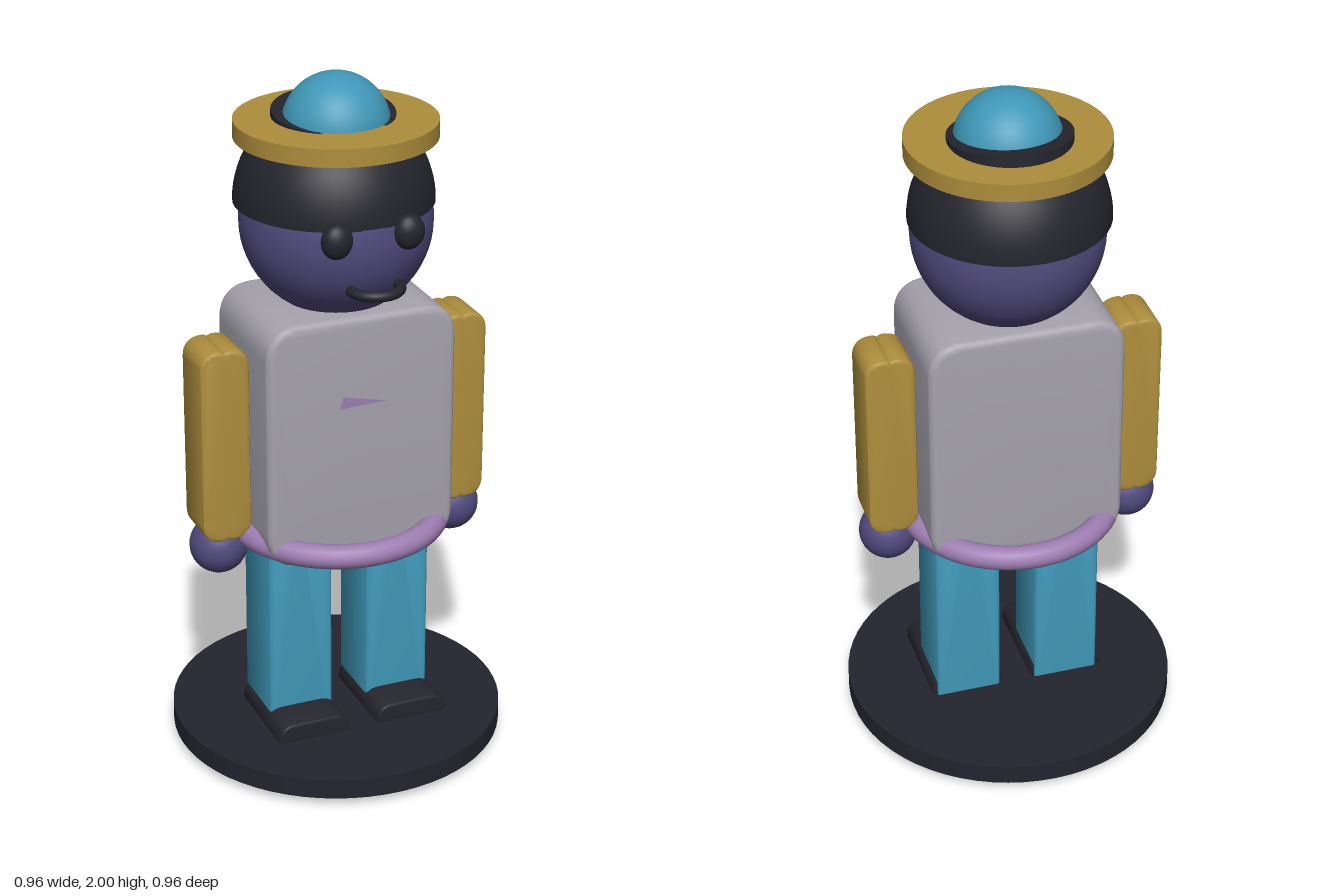
import * as THREE from 'three';
import { toCreasedNormals } from 'three/addons/utils/BufferGeometryUtils.js';

const mat = (name, color, side = THREE.FrontSide) => {
  const m = new THREE.MeshStandardMaterial({ color, side });
  m.name = name;
  return m;
};

// Upright panel with rounded corners; notch dents the middle of both ends.
function panel(w, h, depth, r, bevel, notch = 0) {
  const x = w / 2 - bevel, y = h / 2 - bevel;
  const s = new THREE.Shape();
  s.moveTo(-x, -y + r);
  s.lineTo(-x, y - r);
  s.quadraticCurveTo(-x, y, -x + r, y);
  if (notch) s.quadraticCurveTo(-x * 0.1, y, 0, y - notch).quadraticCurveTo(x * 0.1, y, x - r, y);
  else s.lineTo(x - r, y);
  s.quadraticCurveTo(x, y, x, y - r);
  s.lineTo(x, -y + r);
  s.quadraticCurveTo(x, -y, x - r, -y);
  if (notch) s.quadraticCurveTo(x * 0.1, -y, 0, -y + notch).quadraticCurveTo(-x * 0.1, -y, -x + r, -y);
  else s.lineTo(-x + r, -y);
  s.quadraticCurveTo(-x, -y, -x, -y + r);
  const g = new THREE.ExtrudeGeometry(s, {
    depth: depth - 2 * bevel, bevelEnabled: true, bevelSize: bevel,
    bevelThickness: bevel, bevelSegments: 4, curveSegments: 8,
  });
  g.translate(0, 0, bevel - depth / 2);
  return toCreasedNormals(g, 0.6);
}

export function createModel() {
  const model = new THREE.Group();
  model.name = 'figurine';
  const skin = mat('indigo skin', 0x514a7e);
  const dark = mat('black', 0x24242d, THREE.DoubleSide);
  const baseDark = mat('dark navy', 0x242430);
  const teal = mat('teal', 0x3f97b7);
  const gold = mat('gold', 0xae8e3c);
  const grey = mat('grey', 0xa5a2ad);
  const mauve = mat('mauve', 0x9d7db2);

  const add = (name, geo, material, x = 0, y = 0, z = 0) => {
    const m = new THREE.Mesh(geo, material);
    m.name = name;
    m.position.set(x, y, z);
    model.add(m);
    return m;
  };

  // Stand
  add('base', new THREE.CylinderGeometry(0.482, 0.482, 0.06, 64), baseDark, 0, 0.06, 0);

  // Body and hoop around the waist
  add('torso', panel(0.56, 0.725, 0.39, 0.08, 0.02), grey, 0, 1.005, 0);
  add('waistHoop', new THREE.TorusGeometry(0.29, 0.035, 16, 64).rotateX(Math.PI / 2), mauve, 0, 0.695, 0);

  // Small sliver on the chest
  const sliver = new THREE.Shape();
  sliver.moveTo(-0.07, -0.015);
  sliver.lineTo(0.07, -0.01);
  sliver.lineTo(-0.06, 0.02);
  add('chestMark', new THREE.ShapeGeometry(sliver), mauve, 0, 1.12, 0.1965);

  // Limbs, mirrored
  for (const [side, sx] of [['left', 1], ['right', -1]]) {
    add(side + 'Leg', panel(0.192, 0.74, 0.197, 0.045, 0.008, 0.012), teal, sx * 0.15, 0.375, 0.002);
    add(side + 'Shoe', panel(0.215, 0.12, 0.3, 0.045, 0.005), dark, sx * 0.152, 0.085, 0.06);
    add(side + 'Arm', panel(0.143, 0.575, 0.152, 0.045, 0.01, 0.012), gold, sx * 0.358, 0.9875, 0);
    add(side + 'Hand', new THREE.SphereGeometry(0.083, 32, 20), skin, sx * 0.36, 0.66, 0);
    add(side + 'Eye', new THREE.SphereGeometry(1, 24, 16), dark, sx * 0.104, 1.62, 0.256)
      .scale.set(0.044, 0.05, 0.035);
  }

  // Head, hair and mouth
  add('head', new THREE.SphereGeometry(0.268, 48, 32), skin, 0, 1.59, 0);
  add('hair', new THREE.SphereGeometry(0.278, 48, 20, 0, Math.PI * 2, 0, Math.PI / 2), dark, 0, 1.64, -0.015);
  add('mouth', new THREE.TorusGeometry(0.07, 0.015, 12, 32, Math.PI).rotateX(Math.PI / 2), dark, 0, 1.48, 0.268);

  // Hat: flat brim, slightly tilted band, and domed crown
  add('hatBrim', new THREE.CylinderGeometry(0.28, 0.28, 0.05, 64), gold, 0, 1.85, 0);
  add('hatBand', new THREE.CylinderGeometry(0.17, 0.17, 0.04, 48), dark, 0, 1.869, -0.02)
    .rotation.x = 0.1;
  add('hatCrown', new THREE.SphereGeometry(0.15, 40, 24), teal, 0, 1.85, 0);

  return model;
}
